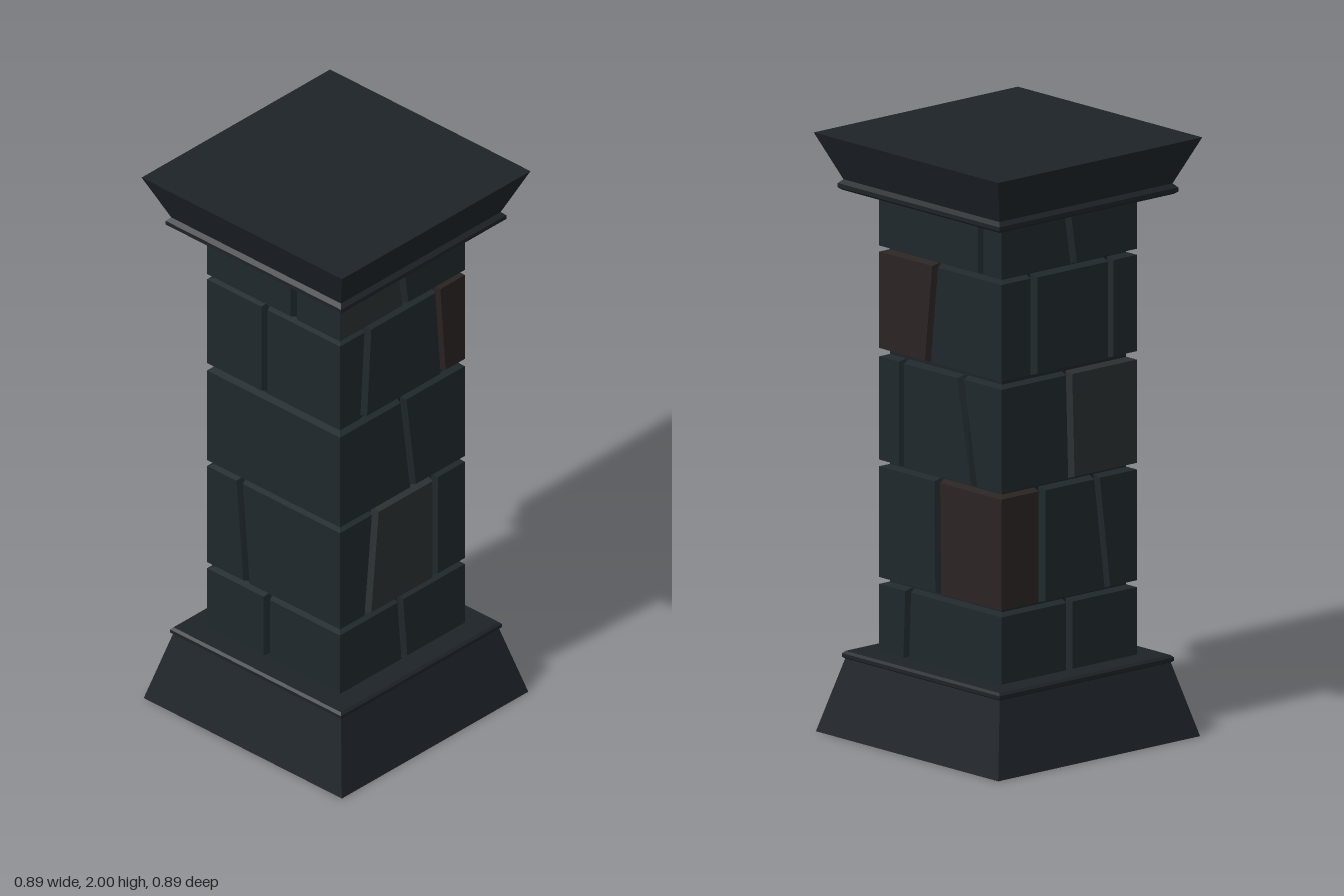
import * as THREE from 'three';

const CORE = 0.268, FACE = 0.295; // half widths at groove bottom and stone face

const mat = (color) => new THREE.MeshStandardMaterial({ color, flatShading: true });
const materials = {
  slate: mat(0x20282c),
  pale: mat(0x2b3032),
  brown: mat(0x2a2423),
  trim: mat(0x1e2328),
};

// Stone courses from bottom to top. Each side (front, right, back, left) lists
// its slanted joints as [bottom, top] positions, rightwards as seen from outside.
const courses = [
  { y: [0.26, 0.495], joints: [[[0.01, -0.01]], [[-0.165, -0.155]], [[0, 0]], [[-0.03, -0.03]]] },
  { y: [0.518, 0.888], joints: [[[-0.165, -0.13], [0.153, 0.153]], [[-0.01, -0.015]],
    [[-0.12, -0.12], [0.165, 0.12]], [[-0.12, -0.15]]] },
  { y: [0.91, 1.255], joints: [[[0.05, 0.005]], [[-0.185, -0.185], [0.165, 0.1]], [[0.01, 0]], []] },
  { y: [1.283, 1.605], joints: [[[-0.185, -0.165], [0.19, 0.165]], [[-0.06, -0.025]],
    [[-0.155, -0.155], [0.18, 0.18]], [[-0.04, -0.04]]] },
  { y: [1.625, 1.82], joints: [[[0.015, -0.015]], [[0.195, 0.195]], [[0.02, -0.01]], [[0.09, 0.09]]] },
];

// Stones of another colour, keyed by course-side-stone
const tints = {
  '1-0-1': 'pale', '4-0-0': 'pale', '2-2-1': 'pale',
  '1-1-1': 'brown', '1-2-0': 'brown',
  '3-0-2': 'brown', '3-1-0': 'brown',
};

// Bevelled slab: a box whose corners move to the joints, mitred at pillar corners
function stoneGeometry(y, left, right, lift) {
  const geo = new THREE.BoxGeometry(1, 1, 1);
  const p = geo.attributes.position;
  for (let i = 0; i < p.count; i++) {
    const sx = Math.sign(p.getX(i)), top = p.getY(i) > 0, front = p.getZ(i) > 0;
    const depth = front ? FACE : CORE;
    const joint = sx < 0 ? left : right;
    const u = joint ? joint[top ? 1 : 0] - sx * (front ? 0.014 : 0.007) : sx * depth;
    const v = y[top ? 1 : 0] + (front ? 0 : (top ? 0.009 : -0.009));
    p.setXYZ(i, u, v, front ? FACE + lift : CORE);
  }
  geo.computeVertexNormals();
  return geo;
}

// Square moulding turned from a [half width, height] profile
function squareMoulding(name, profile) {
  const pts = profile.map(([h, y]) => new THREE.Vector2(h * Math.SQRT2, y));
  const mesh = new THREE.Mesh(new THREE.LatheGeometry(pts, 4, Math.PI / 4), materials.trim);
  mesh.name = name;
  return mesh;
}

export function createModel() {
  const pillar = new THREE.Group();
  pillar.name = 'stonePillar';

  // Flared foot and cap, each with a thin lip next to the shaft
  pillar.add(squareMoulding('base', [
    [0, 0], [0.44, 0], [0.373, 0.245], [0.38, 0.25], [0.38, 0.262], [0.372, 0.27], [0, 0.27],
  ]));
  pillar.add(squareMoulding('capital', [
    [0, 1.81], [0.38, 1.81], [0.39, 1.818], [0.39, 1.832], [0.377, 1.845], [0.445, 2], [0, 2],
  ]));

  // Mortar core behind the stones
  const core = new THREE.Mesh(new THREE.BoxGeometry(CORE * 2 + 0.004, 1.6, CORE * 2 + 0.004), materials.trim);
  core.name = 'mortarCore';
  core.position.y = 1.04;
  pillar.add(core);

  // Four walls of stones
  ['front', 'right', 'back', 'left'].forEach((side, s) => {
    const wall = new THREE.Group();
    wall.name = side + 'Stones';
    wall.rotation.y = s * Math.PI / 2;
    courses.forEach(({ y, joints }, c) => {
      const edges = [null, ...joints[s], null];
      for (let k = 0; k < edges.length - 1; k++) {
        // stones between two joints stand slightly proud
        const lift = edges[k] && edges[k + 1] ? 0.004 : 0;
        const stone = new THREE.Mesh(
          stoneGeometry(y, edges[k], edges[k + 1], lift),
          materials[tints[`${c}-${s}-${k}`] || 'slate']);
        stone.name = 'stone';
        wall.add(stone);
      }
    });
    pillar.add(wall);
  });

  return pillar;
}
